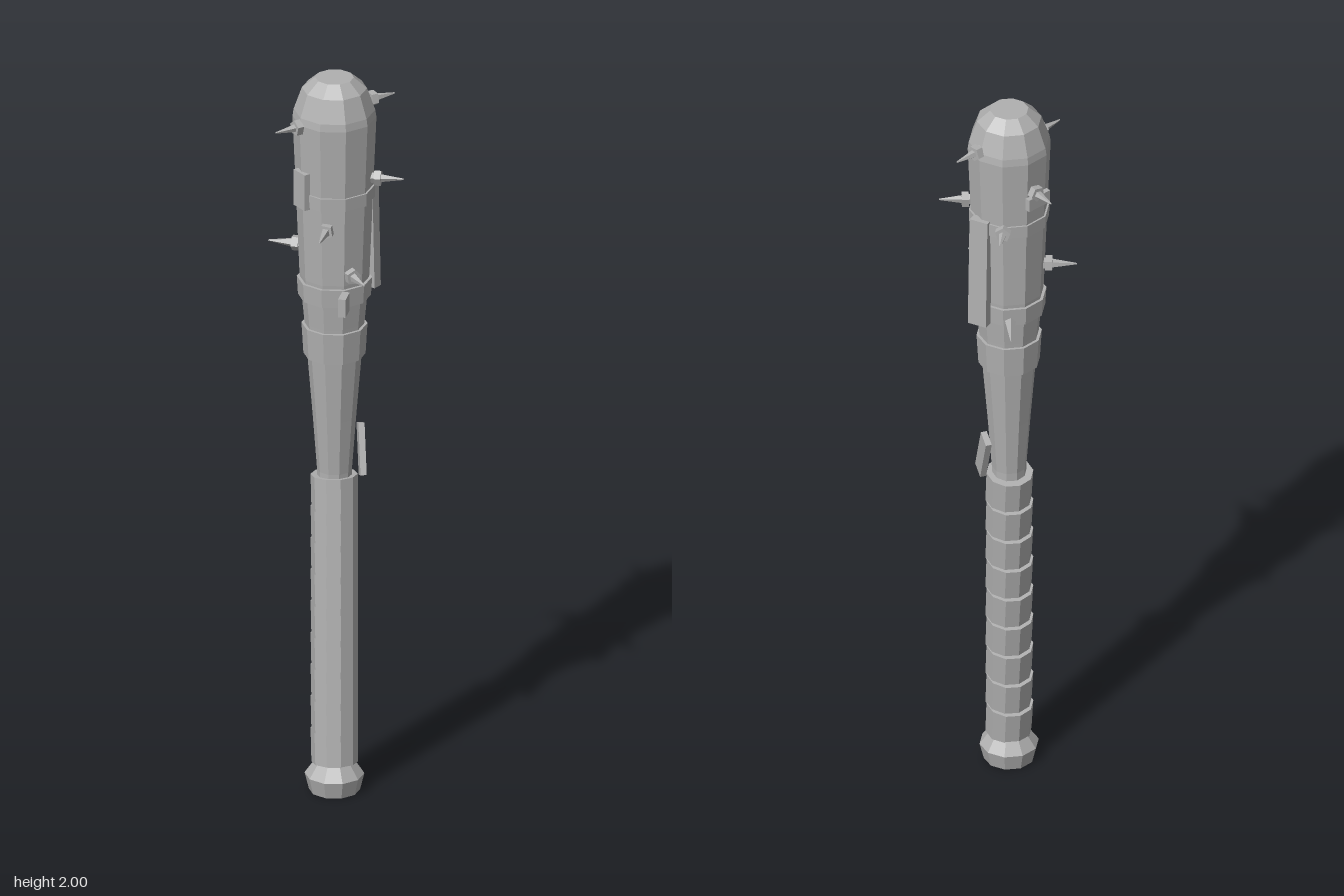
import * as THREE from 'three';

const material = new THREE.MeshStandardMaterial({ color: 0xb0b0b0, flatShading: true });
material.name = 'plain grey';

export function createModel() {
  const group = new THREE.Group();
  const add = (name, geometry, parent = group) => {
    const mesh = new THREE.Mesh(geometry, material);
    mesh.name = name;
    parent.add(mesh);
    return mesh;
  };
  const lathe = (points) =>
    new THREE.LatheGeometry(points.map(([r, y]) => new THREE.Vector2(r, y)), 10);

  // Ten-sided bat body: knob, grip, taper, barrel and domed end
  add('bat', lathe([
    [0, 0], [0.066, 0], [0.077, 0.045], [0.052, 0.08], [0.045, 0.12],
    [0.045, 0.9], [0.056, 1.05], [0.078, 1.32], [0.09, 1.45], [0.1, 1.7],
    [0.108, 1.89], [0.105, 1.91], [0.084, 1.97], [0.05, 2], [0, 2],
  ]));

  // Grip tape: overlapping bands that all lean the same way
  const lean = new THREE.Vector3(1, 0, -1).normalize();
  const leanAxis = new THREE.Vector3(0, 1, 0).cross(lean).normalize();
  for (let i = 0; i < 9; i++) {
    const band = add('gripBand', new THREE.CylinderGeometry(0.061, 0.06, 0.092, 10));
    band.position.y = 0.125 + i * 0.089;
    band.quaternion.setFromAxisAngle(leanAxis, 0.13);
  }

  // Repair bands around the barrel
  for (const [y0, y1, r0, r1] of [
    [1.225, 1.31, 0.08, 0.085], [1.39, 1.44, 0.094, 0.097], [1.665, 1.7, 0.104, 0.105],
  ]) {
    const band = add('barrelBand', new THREE.CylinderGeometry(r1, r0, y1 - y0, 10));
    band.position.y = (y0 + y1) / 2;
  }

  // Flat patches: position, size (width, height, depth), facing angle, tilts
  const plates = [
    ['tapeEnd', [0.053, 0.95, 0.047], [0.045, 0.135, 0.016], Math.PI / 4, 0, -0.36],
    ['longSplint', [0.1, 1.548, 0.033], [0.052, 0.315, 0.026], Math.PI / 2, -0.03, 0],
    ['sidePatch', [-0.098, 1.71, -0.03], [0.05, 0.1, 0.016], -Math.PI / 2 - 0.3, 0, 0],
    ['backPatch', [0.035, 1.77, -0.101], [0.073, 0.035, 0.014], Math.PI - 0.35, 0, 0],
    ['bandEnd', [-0.083, 1.415, 0.096], [0.05, 0.05, 0.02], 0.45, 0, 0],
  ];
  for (const [name, position, size, yaw, pitch, roll] of plates) {
    const plate = add(name, new THREE.BoxGeometry(...size));
    plate.position.set(...position);
    plate.rotation.set(pitch, yaw, roll, 'YXZ');
  }

  // Spikes with five-sided collars: tip x, tip z, height
  const spikes = [
    [-0.075, -0.157, 1.525], [0.075, -0.16, 1.8], [0.155, -0.085, 1.4],
    [0.163, -0.057, 1.69], [0.167, 0.065, 1.915], [0.088, 0.157, 1.725],
    [-0.072, 0.155, 1.48], [-0.162, 0.078, 1.61], [-0.168, -0.06, 1.885],
  ];
  for (const [x, z, y] of spikes) {
    const spike = new THREE.Group();
    spike.name = 'spike';
    spike.position.y = y;
    spike.quaternion.setFromUnitVectors(
      new THREE.Vector3(0, 1, 0), new THREE.Vector3(x, 0, z).normalize());
    const tip = Math.hypot(x, z);
    const start = 0.075;
    add('spikePoint', new THREE.CylinderGeometry(0.002, 0.018, tip - start, 5), spike)
      .position.y = (tip + start) / 2;
    if (y > 1.45) {
      add('spikeCollar', new THREE.CylinderGeometry(0.021, 0.021, 0.018, 5), spike)
        .position.y = y > 1.65 ? 0.113 : 0.102;
    }
    group.add(spike);
  }
  return group;
}
